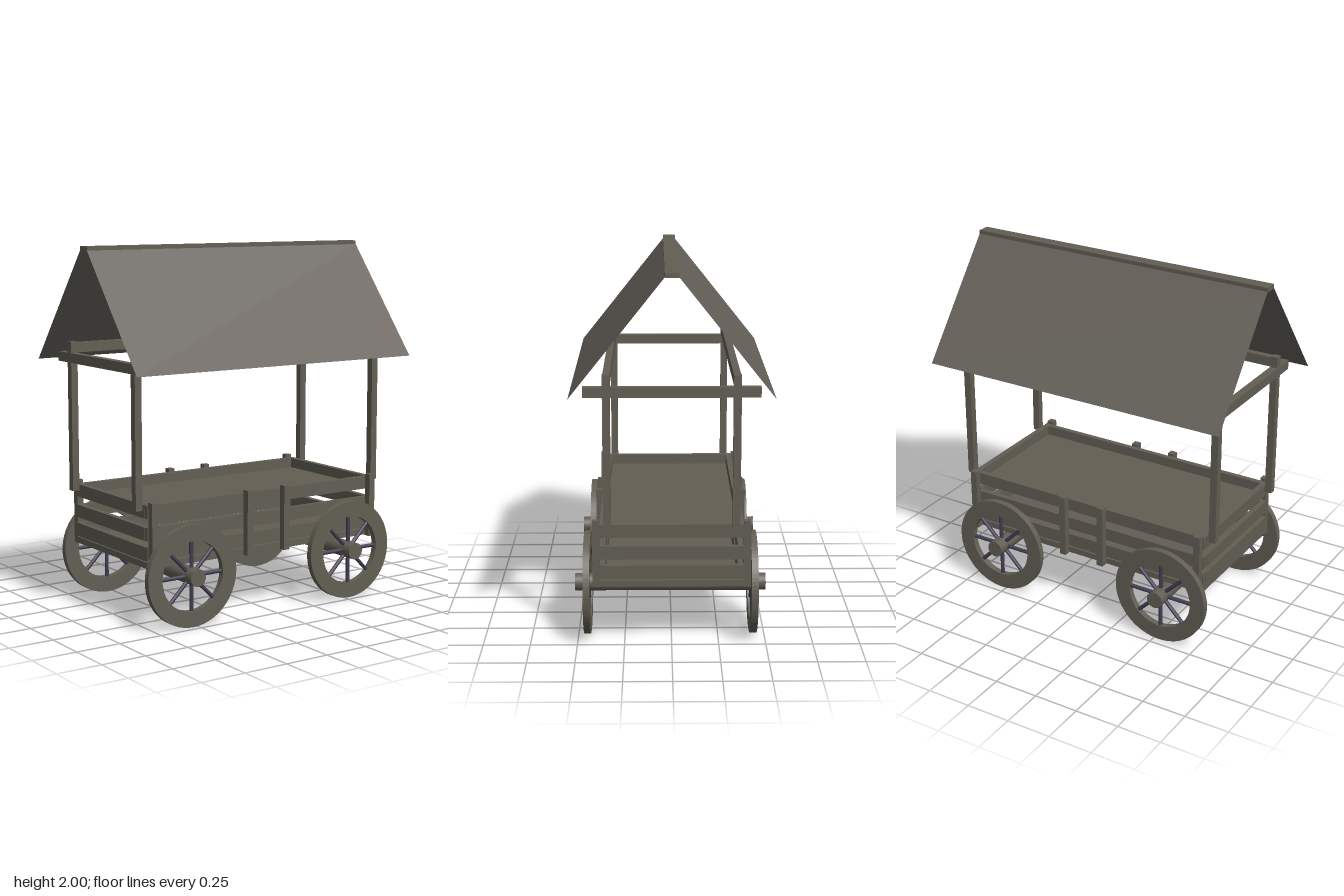
import * as THREE from 'three';

const wood = new THREE.MeshStandardMaterial({ color: 0x625e53 });
wood.name = 'weatheredWood';
const cloth = new THREE.MeshStandardMaterial({ color: 0x66615a, side: THREE.DoubleSide });
cloth.name = 'roofGrey';
const spokeMat = new THREE.MeshStandardMaterial({ color: 0x433e55 });
spokeMat.name = 'spokePurple';

export function createModel() {
  const model = new THREE.Group();
  model.name = 'marketCart';

  const add = (name, geometry, material, parent = model) => {
    const mesh = new THREE.Mesh(geometry, material);
    mesh.name = name;
    parent.add(mesh);
    return mesh;
  };
  // Box given by its extents on each axis
  const box = (name, [x0, x1], [y0, y1], [z0, z1]) => {
    const g = new THREE.BoxGeometry(x1 - x0, y1 - y0, z1 - z0);
    g.translate((x0 + x1) / 2, (y0 + y1) / 2, (z0 + z1) / 2);
    return add(name, g, wood);
  };
  const around = (c, half) => [c - half, c + half];

  // Bed: lower floor and raised loading deck
  box('floor', [-0.75, 0.75], [0.328, 0.362], [-0.378, 0.378]);
  box('deck', [-0.725, 0.725], [0.602, 0.612], [-0.35, 0.35]);

  // Slatted sides and ends
  for (const y of [[0.37, 0.445], [0.478, 0.55], [0.597, 0.668]]) {
    for (const s of [-1, 1]) {
      box('sidePlank', [-0.755, 0.755], y, around(s * 0.363, 0.015));
      box('endPlank', around(s * 0.741, 0.016), y, [-0.348, 0.348]);
    }
  }

  // Upright stakes along both sides
  for (const s of [-1, 1]) {
    for (const x of [-0.73, -0.123, 0.123, 0.73]) {
      box('stake', around(x, 0.019), [0.325, 0.685], around(s * 0.397, 0.019));
    }
  }

  // Canopy frame: posts, cross beams and long beams
  for (const sx of [-1, 1]) {
    for (const sz of [-1, 1]) {
      box('post', around(sx * 0.79, 0.02), [0.64, 1.47], around(sz * 0.335, 0.02));
    }
    box('crossBeam', around(sx * 0.79, 0.022), [1.355, 1.408], [-0.455, 0.455]);
    box('longBeam', [-0.8, 0.8], [1.41, 1.465], around(sx * 0.335, 0.019));
  }

  // Pitched roof
  const run = 0.49, rise = 0.615;
  for (const s of [-1, 1]) {
    const g = new THREE.PlaneGeometry(1.8, Math.hypot(run, rise));
    g.rotateX(-Math.atan2(run, rise));
    g.translate(0, 1.365 + rise / 2, 0.035 + run / 2);
    if (s < 0) g.rotateY(Math.PI);
    add('roofPanel', g, cloth);
  }
  box('ridgeBeam', [-0.9, 0.9], [1.975, 2], [-0.036, 0.036]);

  // Wheel rim, an extruded ring
  const ring = new THREE.Shape().absarc(0, 0, 0.277, 0, Math.PI * 2, false);
  ring.holes.push(new THREE.Path().absarc(0, 0, 0.19, 0, Math.PI * 2, true));
  const rimGeo = new THREE.ExtrudeGeometry(ring, { depth: 0.035, bevelEnabled: false, curveSegments: 40 });
  rimGeo.translate(0, 0, -0.0175);
  const spokeGeo = new THREE.CylinderGeometry(0.011, 0.011, 0.18, 8);
  spokeGeo.translate(0, 0.115, 0);
  const axleGeo = new THREE.CylinderGeometry(0.047, 0.047, 1.026, 24);
  axleGeo.rotateX(Math.PI / 2);

  // Two axles with spoked wheels at each end
  for (const x of [-0.53, 0.53]) {
    add('axle', axleGeo, wood).position.set(x, 0.28, 0.005);
    for (const s of [-1, 1]) {
      const wheel = new THREE.Group();
      wheel.name = 'wheel';
      wheel.position.set(x, 0.28, 0.006 + s * 0.444);
      add('rim', rimGeo, wood, wheel);
      for (let i = 0; i < 8; i++) {
        add('spoke', spokeGeo, spokeMat, wheel).rotation.z = i * Math.PI / 4;
      }
      model.add(wheel);
    }
  }
  return model;
}
